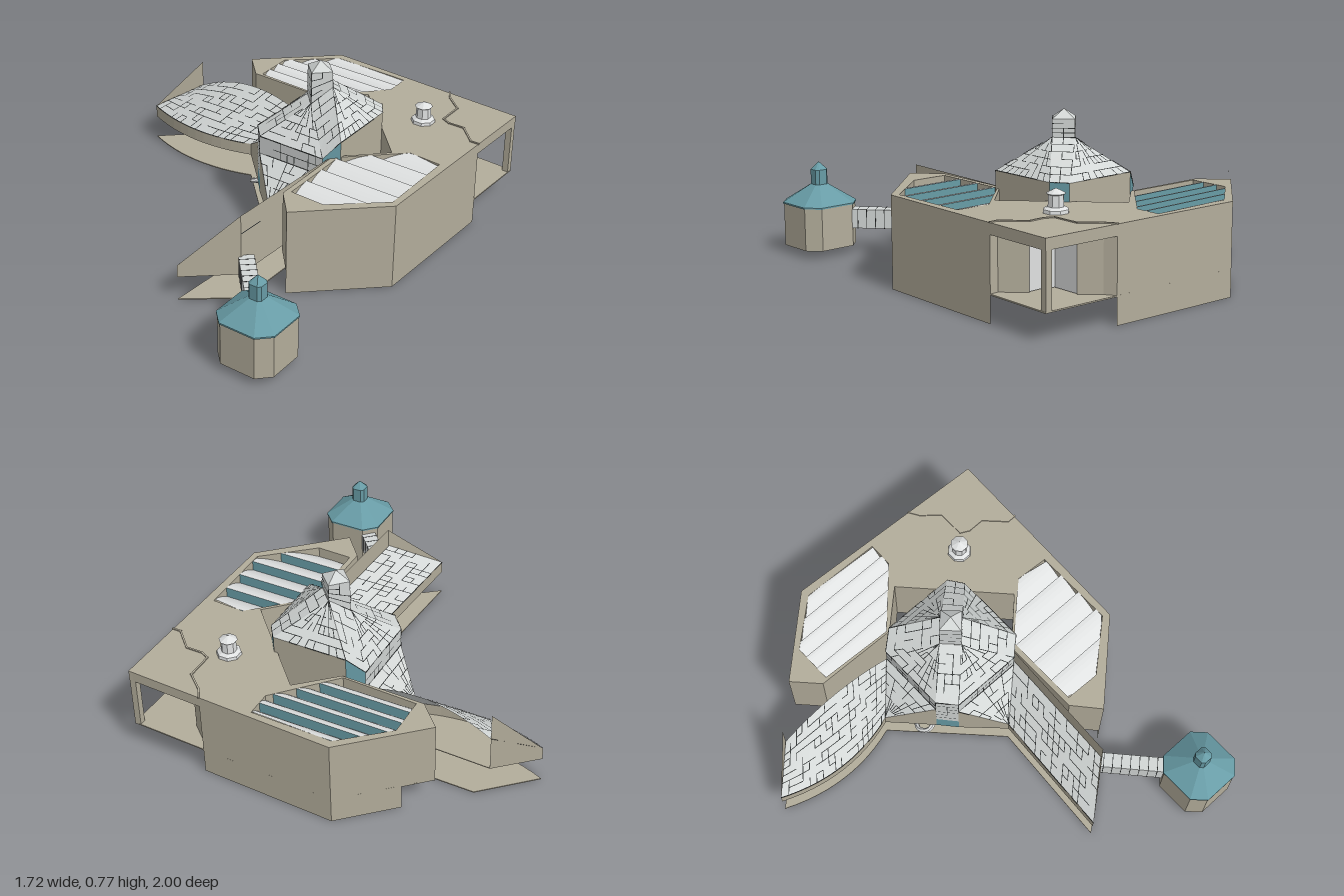
import * as THREE from 'three';

const mat = (name, color) => {
  const m = new THREE.MeshStandardMaterial({ color, side: THREE.DoubleSide, flatShading: true });
  m.name = name;
  return m;
};
const V = (x, y, z) => new THREE.Vector3(x, y, z);
const lerp = THREE.MathUtils.lerp;
const bez = (a, b, c, t) => a * (1 - t) * (1 - t) + 2 * b * t * (1 - t) + c * t * t;

export function createModel() {
  const stone = mat('stone', 0xb3ad9b);
  const teal = mat('teal glass', 0x689ca6);
  const tile = mat('pale shingle', 0xd3d7d6);
  const white = mat('white metal', 0xdfe1e1);
  const dark = mat('dark joint', 0x303333);
  const root = new THREE.Group();

  let seed = 7;
  const rnd = () => (seed = (seed * 16807) % 2147483647) / 2147483647;

  const add = (name, geo, m) => {
    const mesh = new THREE.Mesh(geo, m);
    mesh.name = name;
    root.add(mesh);
    return mesh;
  };
  // Convex polygons, each a list of points, as one mesh
  const faces = (name, polys, m) => {
    const pos = [];
    for (const p of polys)
      for (let i = 1; i < p.length - 1; i++)
        for (const q of [p[0], p[i], p[i + 1]]) pos.push(q.x, q.y, q.z);
    const g = new THREE.BufferGeometry();
    g.setAttribute('position', new THREE.Float32BufferAttribute(pos, 3));
    g.computeVertexNormals();
    return add(name, g, m);
  };
  // Vertical walls along a plan path of [x, z]
  const walls = (name, path, y0, y1, m = stone) => faces(name, path.slice(1).map((b, i) => {
    const a = path[i];
    return [V(a[0], y0, a[1]), V(b[0], y0, b[1]), V(b[0], y1, b[1]), V(a[0], y1, a[1])];
  }), m);
  // Horizontal slab from a plan outline, with optional holes
  const slab = (name, pts, y, h, holes = [], m = stone) => {
    const v2 = p => p.map(([x, z]) => new THREE.Vector2(x, -z));
    const s = new THREE.Shape(v2(pts));
    s.holes = holes.map(p => new THREE.Path(v2(p)));
    const g = new THREE.ExtrudeGeometry(s, { depth: h, bevelEnabled: false });
    return add(name, g.rotateX(-Math.PI / 2).translate(0, y, 0), m);
  };
  // Shingled surface P(u, v) with broken dark joints lying on it
  const shingled = (name, P, nu, nv) => {
    const quads = [], joints = [];
    for (let i = 0; i < nu; i++) for (let j = 0; j < nv; j++) {
      const [a, b, c, d] = [[i, j], [i + 1, j], [i + 1, j + 1], [i, j + 1]].map(([u, v]) => P(u / nu, v / nv));
      quads.push([a, b, c, d]);
      const n = c.clone().sub(a).cross(d.clone().sub(b)).normalize();
      const out = Math.abs(n.y) > 0.1 ? n.y : n.dot(a.clone().sub(V(0.17, 0, -0.31)));
      if (out < 0) n.negate();
      for (const [p, q, chance] of [[a, b, 0.75], [a, d, 0.5]]) {
        const dir = q.clone().sub(p);
        if (rnd() > chance || dir.length() < 0.008) continue;
        const s = n.clone().cross(dir).setLength(0.0018);
        const [e, f] = [p, q].map(k => k.clone().addScaledVector(n, 0.002));
        joints.push([e.clone().add(s), e.clone().sub(s), f.clone().sub(s), f.clone().add(s)]);
      }
    }
    faces(name, quads, tile);
    if (joints.length) faces(name + 'Joints', joints, dark);
  };
  const patch = (a, b, c, d) => (u, v) => a.clone().lerp(b, u).lerp(d.clone().lerp(c, u), v);

  // Main building: roof, floor and walls
  const westLight = [[-0.36, -0.78], [-0.15, -0.96], [0.24, -0.95], [0.24, -0.83], [0, -0.575], [-0.36, -0.59]];
  const eastLight = [[0.64, -0.355], [0.8, -0.345], [0.8, 0.05], [0.57, 0.245], [0.4, 0.24], [0.4, -0.13]];
  const inner = [[0.48, 0.39], [0.375, 0.27], [0.375, -0.12], [0.57, -0.31], [0.18, -0.72], [0.01, -0.565], [-0.39, -0.575], [-0.5, -0.69]];
  const outline = [...inner, [-0.16, -1], [0.86, -0.95], [0.83, 0.07]];
  slab('mainRoof', outline, 0.41, 0.01, [westLight, eastLight]);
  slab('mainFloor', outline, 0.12, 0.006);
  walls('innerWalls', inner, 0.12, 0.42);
  walls('westTip', [[-0.5, -0.69], [-0.39, -0.79]], 0.12, 0.42);
  walls('northWalls', [[-0.39, -0.79], [-0.16, -1], [0.49, -0.968]], 0, 0.42);
  walls('eastWalls', [[0.85, -0.61], [0.83, 0.07], [0.48, 0.39]], 0, 0.42);

  // Corner porch: lintels, post and recessed glazed wall
  walls('porchLintel', [[0.49, -0.968], [0.86, -0.95], [0.85, -0.61]], 0.37, 0.42);
  add('porchPost', new THREE.BoxGeometry(0.03, 0.3, 0.03).translate(0.843, 0.27, -0.936), stone);
  const zig = [[0.49, -0.968], [0.52, -0.92], [0.6, -0.85], [0.6, -0.72], [0.64, -0.7], [0.72, -0.7], [0.81, -0.61], [0.85, -0.61]];
  walls('porchWallWest', zig.slice(0, 3), 0.12, 0.41);
  walls('porchGlazing', zig.slice(2, 6), 0.13, 0.37, white);
  walls('porchWallEast', zig.slice(5), 0.12, 0.41);
  for (let i = 1; i < zig.length; i++) {
    const [a, b] = [zig[i - 1], zig[i]], dx = b[0] - a[0], dz = b[1] - a[1];
    const kerb = add('roofKerb', new THREE.BoxGeometry(Math.hypot(dx, dz) + 0.008, 0.006, 0.008), stone);
    kerb.position.set((a[0] + b[0]) / 2, 0.422, (a[1] + b[1]) / 2);
    kerb.rotation.y = -Math.atan2(dz, dx);
  }

  // Sawtooth skylights: curved white shells with upright glass on their north sides
  const skylight = (name, poly) => {
    const zs = poly.map(p => p[1]), z0 = Math.min(...zs), z1 = Math.max(...zs);
    const span = z => {
      const xs = [];
      poly.forEach((a, i) => {
        const b = poly[(i + 1) % poly.length];
        if ((a[1] - z) * (b[1] - z) <= 0 && a[1] !== b[1]) xs.push(lerp(a[0], b[0], (z - a[1]) / (b[1] - a[1])));
      });
      return [Math.min(...xs), Math.max(...xs)];
    };
    const shells = [], glass = [], rows = 5, steps = 6;
    for (let r = 0; r < rows; r++) for (let k = 0; k < steps; k++) {
      const edge = t => {
        const z = lerp(z0 + 0.002, z1 - 0.002, (r + t) / rows), [l, h] = span(z);
        const y = 0.37 + 0.05 * Math.cos(t * Math.PI / 2);
        return [V(l, y, z), V(h, y, z)];
      };
      const [a, b] = edge(k / steps), [d, c] = edge((k + 1) / steps);
      shells.push([a, d, c, b]);
      if (k === 0) glass.push([a, b, V(b.x, 0.37, b.z), V(a.x, 0.37, a.z)]);
    }
    faces(name + 'Shells', shells, white);
    faces(name + 'Glass', glass, teal);
    walls(name + 'Well', [...poly, poly[0]], 0.365, 0.415);
  };
  skylight('westSkylight', westLight);
  skylight('eastSkylight', eastLight);

  // Rooftop vent
  const vent = [[0.057, 0.42], [0.055, 0.435], [0.036, 0.445], [0.034, 0.495], [0.042, 0.5], [0, 0.522]];
  add('roofVent', new THREE.LatheGeometry(vent.map(p => new THREE.Vector2(...p)), 8, Math.PI / 8).translate(0.53, 0, -0.65), white);

  // Ground plate under the hall and wings
  const arc = [];
  for (let i = 0; i <= 12; i++) arc.push([lerp(-0.86, -0.24, i / 12), bez(-0.36, -0.225, -0.33, i / 12)]);
  slab('groundPlate', [...arc, [0.17, 0.09], [0.13, 0.71], [0.36, 0.53], [0.375, -0.12], [0.55, -0.31],
    [0.25, -0.63], [0.17, -0.55], [0, -0.56], [-0.63, -0.57]], 0, 0.005);
  slab('hallFloor', [[-0.24, -0.33], [0.17, 0.09], [0.37, -0.12], [0.41, -0.48], [0.36, -0.55], [0, -0.55]], 0.12, 0.005);

  // Hall roof: low eaves to the south and west, high eaves to the north and east
  const T = { w: V(0.1, 0.575, -0.31), s: V(0.17, 0.575, -0.24), e: V(0.24, 0.65, -0.31), n: V(0.17, 0.65, -0.38) };
  const R = {
    w1: V(-0.07, 0.42, -0.5), w2: V(-0.07, 0.42, -0.155), s1: V(0, 0.42, -0.075), s2: V(0.35, 0.42, -0.075),
    e1: V(0.41, 0.5, -0.13), e2: V(0.41, 0.5, -0.48), n1: V(0.36, 0.5, -0.55), n2: V(0, 0.5, -0.55),
  };
  for (const [a, b, c, d] of [[R.w1, R.w2, T.w, T.w], [R.s1, R.s2, T.s, T.s], [R.e1, R.e2, T.e, T.e], [R.n1, R.n2, T.n, T.n],
    [R.w2, R.s1, T.s, T.w], [R.s2, R.e1, T.e, T.s], [R.e2, R.n1, T.n, T.e], [R.n2, R.w1, T.w, T.n]])
    shingled('hallRoof', patch(a, b, c, d), Math.max(2, Math.round(a.distanceTo(b) / 0.04)), 6);

  // Steep skirts below the low eaves
  const at = (p, y) => V(p.x, y, p.z);
  const cornerW = V(-0.24, 0.18, -0.33), cornerS = V(0.17, 0.18, 0.09);
  for (const [a, b, tip] of [[R.w1, R.w2, cornerW], [R.s1, R.s2, cornerS]]) {
    shingled('hallSkirt', patch(a, b, at(b, 0.33), at(a, 0.33)), 9, 2);
    shingled('hallSkirt', patch(at(a, 0.33), at(b, 0.33), tip, tip), 9, 5);
  }
  shingled('entranceBay', patch(R.w2, R.s1, at(R.s1, 0.2), at(R.w2, 0.2)), 2, 6);

  // Hall walls
  const drop = (a, b, y) => [a, b, at(b, y), at(a, y)];
  faces('entranceDoor', [drop(at(R.w2, 0.2), at(R.s1, 0.2), 0.12)], teal);
  faces('entranceWalls', [drop(cornerW, at(R.w2, 0.33), 0.12), drop(at(R.s1, 0.33), cornerS, 0.12)], stone);
  faces('hallWalls', [drop(R.e1, R.e2, 0.12), drop(R.n1, R.n2, 0.12)], stone);
  faces('hallCornerGlass', [drop(R.s2, R.e1, 0.12), drop(R.e2, R.n1, 0.12), drop(R.n2, R.w1, 0.12)], teal);

  // Lantern on the hall roof
  const ring = [T.w, T.s, T.e, T.n];
  ring.forEach((a, i) => {
    const b = ring[(i + 1) % 4];
    shingled('lantern', patch(a, b, at(b, 0.73), at(a, 0.73)), 2, 4);
  });
  faces('lanternCap', ring.map((a, i) => [at(a, 0.73), at(ring[(i + 1) % 4], 0.73), V(0.17, 0.77, -0.31)]), tile);

  // West wing with a bowed front and arched roof
  shingled('westWingRoof', (u, v) => V(lerp(-0.86, -0.24, u), 0.18, bez(-0.36, -0.225, -0.33, u))
    .lerp(V(lerp(-0.68, -0.07, u), bez(0.29, 0.46, 0.33, u), lerp(-0.52, -0.5, u)), v), 18, 8);
  walls('westWingFascia', arc, 0.12, 0.18);
  slab('westWingFloor', [...arc, [-0.07, -0.5], [-0.68, -0.52]], 0.12, 0.004);
  faces('westWingEnd', [[V(-0.86, 0.12, -0.36), V(-0.86, 0.18, -0.36), V(-0.68, 0.42, -0.52), V(-0.68, 0.12, -0.52)]], stone);

  // South wing with a plain sloping roof
  const southTip = V(0.13, 0.18, 0.71);
  shingled('southWingRoof', patch(cornerS, southTip, V(0.335, 0.33, 0.53), V(0.365, 0.33, -0.1)), 16, 6);
  walls('southWingFascia', [[0.17, 0.09], [0.13, 0.71]], 0.12, 0.18);
  slab('southWingFloor', [[0.17, 0.09], [0.13, 0.71], [0.335, 0.53], [0.365, -0.1]], 0.12, 0.004);
  faces('southWingEnd', [[at(southTip, 0.12), southTip, V(0.34, 0.42, 0.53), V(0.34, 0.12, 0.53)]], stone);
  walls('southWingBack', [[0.34, 0.53], [0.37, -0.1]], 0.12, 0.42);
  walls('southWingJoint', [[0.343, 0.53], [0.349, 0.4]], 0.328, 0.333, dark);

  // Covered bridge with upright joints
  const bridge = new THREE.Group();
  bridge.name = 'bridge';
  bridge.position.set(0.455, 0.165, 0.62);
  bridge.rotation.y = -Math.atan2(0.22, 0.2);
  const tube = new THREE.Mesh(new THREE.BoxGeometry(0.32, 0.09, 0.07), tile);
  tube.name = 'bridgeTube';
  bridge.add(tube);
  for (let i = -3; i <= 3; i++) {
    const rib = new THREE.Mesh(new THREE.BoxGeometry(0.003, 0.092, 0.073), dark);
    rib.name = 'bridgeJoint';
    rib.position.x = i * 0.042;
    bridge.add(rib);
  }
  root.add(bridge);

  // Detached tower: chamfered-square sections
  const section = (r, y) => [[-1, -0.6], [-0.6, -1], [0.6, -1], [1, -0.6], [1, 0.6], [0.6, 1], [-0.6, 1], [-1, 0.6]]
    .map(([x, z]) => V(0.667 + x * r, y, 0.853 + z * r));
  const loft = (name, rings, m) => faces(name, rings.slice(1).flatMap((b, k) => b.map((p, i) => {
    const j = (i + 1) % 8;
    return [rings[k][i], p, b[j], rings[k][j]];
  })), m);
  loft('towerBody', [section(0.001, 0.035), section(0.143, 0.035), section(0.143, 0.24)], stone);
  loft('towerRoof', [section(0.147, 0.235), section(0.147, 0.242), section(0.033, 0.325),
    section(0.033, 0.395), section(0.001, 0.43)], teal);

  // Curling slide beneath the entrance
  const path = new THREE.CatmullRomCurve3([V(-0.05, 0.12, -0.18), V(-0.11, 0.095, -0.17), V(-0.135, 0.07, -0.21),
    V(-0.11, 0.045, -0.25), V(-0.06, 0.015, -0.24)]);
  add('slide', new THREE.TubeGeometry(path, 20, 0.012, 6), white);

  return root;
}
